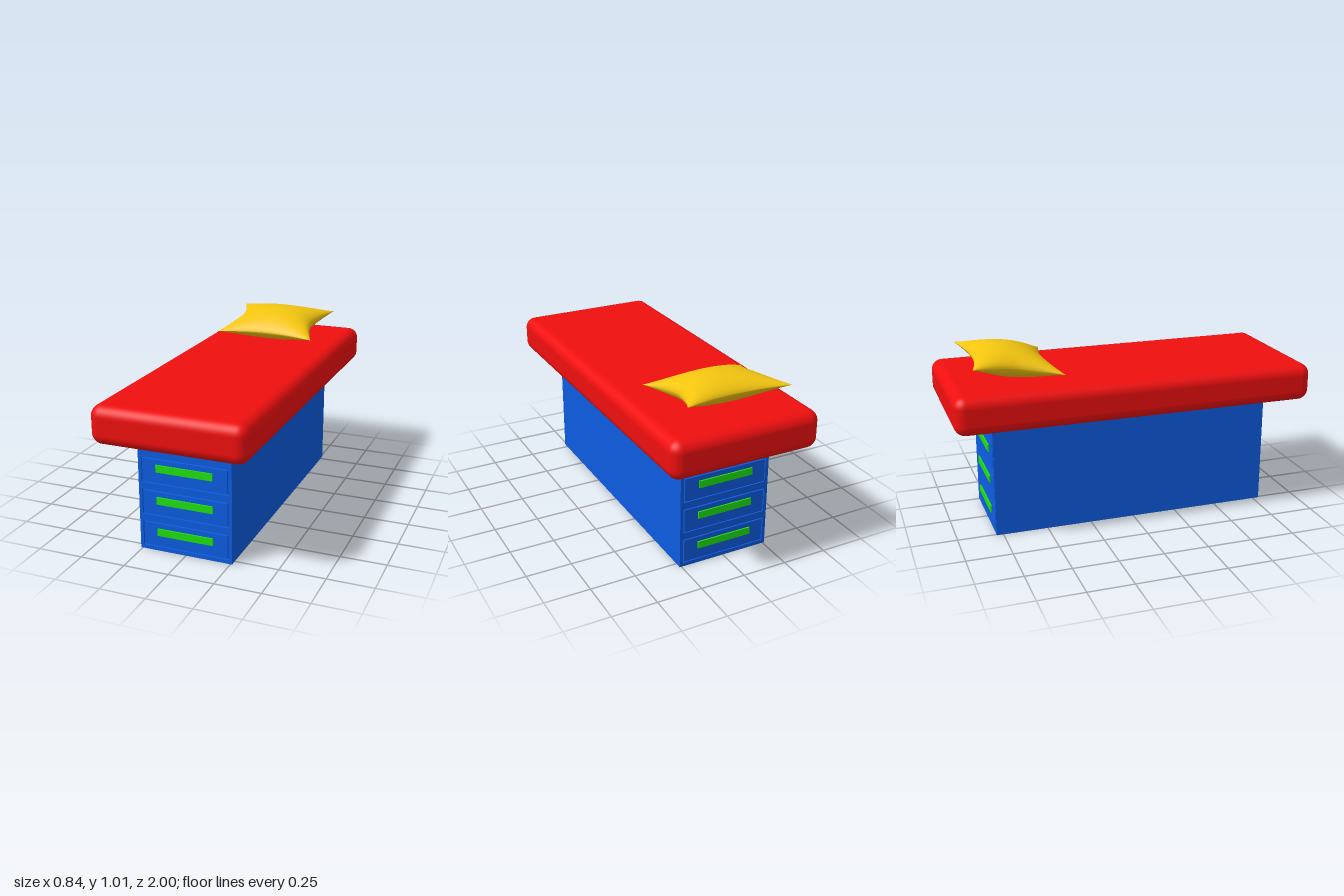
import * as THREE from 'three';
import { RoundedBoxGeometry } from 'three/addons/geometries/RoundedBoxGeometry.js';

const paint = (color, extra = {}) => new THREE.MeshStandardMaterial({ color, ...extra });
const red = paint(0xf00f0f);
const blue = paint(0x0d5ce2);
const green = paint(0x1fe00f);
const yellow = paint(0xf2c40f, { side: THREE.DoubleSide });

function add(parent, name, geometry, material, x = 0, y = 0, z = 0) {
  const mesh = new THREE.Mesh(geometry, material);
  mesh.name = name;
  mesh.position.set(x, y, z);
  parent.add(mesh);
  return mesh;
}

function rect(Type, x0, y0, x1, y1) {
  return new Type([[x0, y0], [x1, y0], [x1, y1], [x0, y1]].map(([x, y]) => new THREE.Vector2(x, y)));
}

// One end of the base: a frame with three drawer fronts set in thin grooves
function drawerEnd() {
  const end = new THREE.Group();
  const bottoms = [0.025, 0.205, 0.385];
  const frame = rect(THREE.Shape, -0.26, 0, 0.26, 0.64);
  for (const y of bottoms) frame.holes.push(rect(THREE.Path, -0.242, y - 0.003, 0.242, y + 0.138));
  add(end, 'drawerFrame', new THREE.ExtrudeGeometry(frame, { depth: 0.012, bevelEnabled: false }), blue, 0, 0, 0.775);
  for (const y of bottoms) {
    add(end, 'drawerFront', new THREE.BoxGeometry(0.472, 0.129, 0.014), blue, 0, y + 0.0675, 0.781);
    add(end, 'drawerHandle', new THREE.BoxGeometry(0.314, 0.04, 0.012), green, 0, y + 0.085, 0.79);
  }
  return end;
}

// One face of the pillow (side +1 top, -1 bottom): pinched edges, domed middle
function pillowFace(side) {
  const geometry = new THREE.PlaneGeometry(2, 2, 32, 32);
  geometry.rotateX(-side * Math.PI / 2);
  const pos = geometry.attributes.position;
  for (let i = 0; i < pos.count; i++) {
    const u = Math.sin(pos.getX(i) * Math.PI / 2);
    const v = Math.sin(pos.getZ(i) * Math.PI / 2);
    const x = u * 0.297 * (1 - 0.23 * (1 - Math.abs(v) ** 1.6));
    const z = v * 0.243 * (1 - 0.19 * (1 - u * u));
    const dome = Math.max(0, 1 - u * u) ** 0.5 * Math.max(0, 1 - v * v) ** 0.65;
    // Tilted up toward the back, resting flat on the mattress
    const y = 0.924 - z * 0.145 + side * 0.086 * dome;
    pos.setXYZ(i, x, Math.max(y, 0.842), z);
  }
  geometry.computeVertexNormals();
  return geometry;
}

export function createModel() {
  const model = new THREE.Group();
  model.name = 'bed';

  // Base with drawers at both ends
  const base = new THREE.Group();
  base.name = 'base';
  add(base, 'baseBody', new THREE.BoxGeometry(0.52, 0.64, 1.55), blue, 0, 0.32, 0);
  for (const [name, turn] of [['frontDrawers', 0], ['backDrawers', Math.PI]]) {
    const end = drawerEnd();
    end.name = name;
    end.rotation.y = turn;
    base.add(end);
  }
  model.add(base);

  // Mattress
  add(model, 'mattress', new RoundedBoxGeometry(0.838, 0.208, 2, 6, 0.06), red, 0, 0.738, 0);

  // Pillow
  const pillow = new THREE.Group();
  pillow.name = 'pillow';
  add(pillow, 'pillowTop', pillowFace(1), yellow);
  add(pillow, 'pillowBottom', pillowFace(-1), yellow);
  pillow.position.set(-0.017, 0, -0.638);
  model.add(pillow);

  return model;
}
